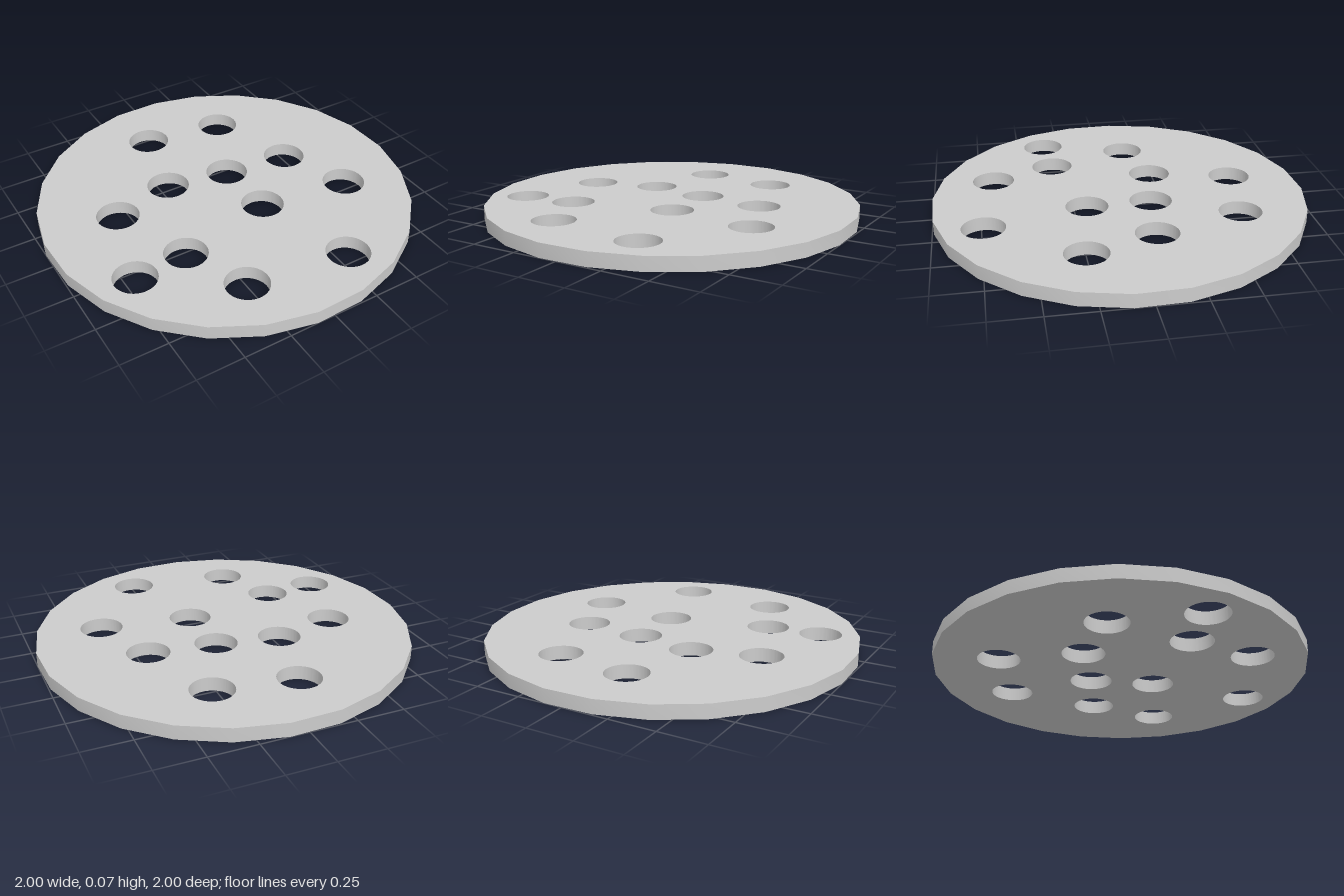
import * as THREE from 'three';
import { toCreasedNormals } from 'three/addons/utils/BufferGeometryUtils.js';

const SIDES = 24;
const RADIUS = 1.005;
const TURN = THREE.MathUtils.degToRad(-5.6);
const THICKNESS = 0.074;
const HOLE_RADIUS = 0.1135;

// Hole centres as [x, z]
const HOLES = [
  [-0.126, -0.65], [0.308, -0.59],
  [-0.583, -0.115], [-0.233, -0.211], [0.107, -0.152], [0.468, -0.115],
  [0.12, 0.193], [0.61, 0.259], [-0.717, 0.353], [-0.422, 0.326],
  [-0.278, 0.668], [0.273, 0.738],
];

export function createModel() {
  const group = new THREE.Group();
  group.name = 'perforatedPlate';

  // Many-sided outline, slightly turned
  const outline = new THREE.Shape(Array.from({ length: SIDES }, (_, i) => {
    const a = TURN + (i / SIDES) * Math.PI * 2;
    return new THREE.Vector2(RADIUS * Math.cos(a), RADIUS * Math.sin(a));
  }));

  // Round through holes
  for (const [x, z] of HOLES) {
    outline.holes.push(new THREE.Path().absarc(x, -z, HOLE_RADIUS, 0, Math.PI * 2, true));
  }

  // Flat disc with smooth walls and sharp rims
  const geometry = new THREE.ExtrudeGeometry(outline, {
    depth: THICKNESS, bevelEnabled: false, curveSegments: 48,
  });
  geometry.rotateX(-Math.PI / 2);

  const disc = new THREE.Mesh(
    toCreasedNormals(geometry, 0.6),
    new THREE.MeshStandardMaterial({ color: 0xcccccc }),
  );
  disc.name = 'disc';
  group.add(disc);
  return group;
}
